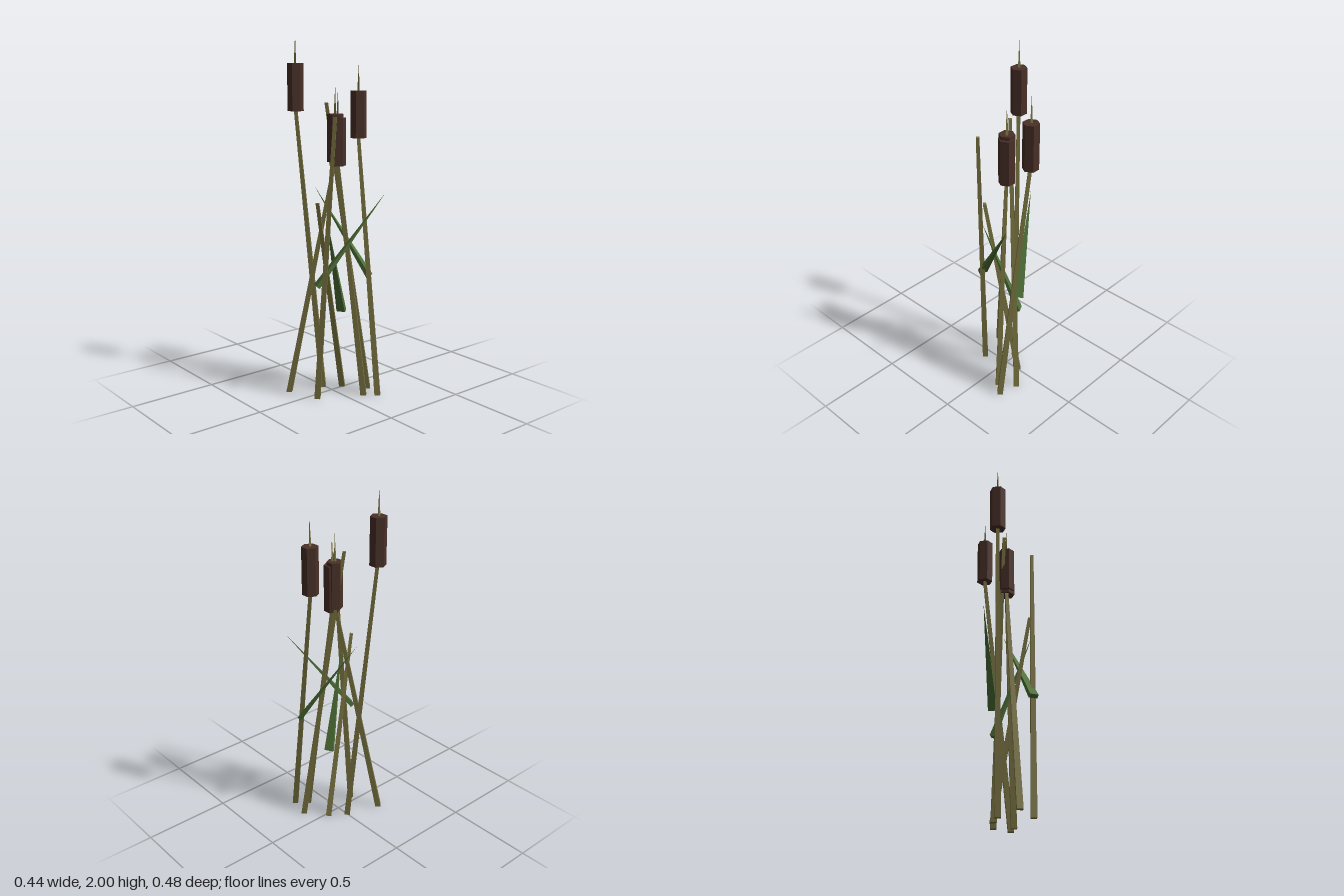
import * as THREE from 'three';

const paint = (color) => new THREE.MeshStandardMaterial({ color, flatShading: true });

// Upright prism whose rings are slid sideways so it leans from a to b with level ends
function leaningPrism(a, b, rBottom, rTop, sides) {
  const h = b[1] - a[1];
  const geo = new THREE.CylinderGeometry(rTop, rBottom, h, sides).translate(0, h / 2, 0);
  const p = geo.attributes.position;
  for (let i = 0; i < p.count; i++) {
    const t = p.getY(i) / h;
    p.setXYZ(i,
      p.getX(i) + a[0] + (b[0] - a[0]) * t,
      p.getY(i) + a[1],
      p.getZ(i) + a[2] + (b[2] - a[2]) * t);
  }
  geo.computeVertexNormals();
  return geo;
}

export function createModel() {
  const group = new THREE.Group();
  group.name = 'reeds';
  const stalkMat = paint(0x7a7442);
  const headMat = paint(0x4a3128);
  const leafMat = paint(0x4f7037);

  const add = (name, geo, mat, parent = group) => {
    const mesh = new THREE.Mesh(geo, mat);
    mesh.name = name;
    parent.add(mesh);
    return mesh;
  };

  // Stalks with a seed head: foot [x, z], head [x, z], height of the head's underside
  const headed = [
    [[-0.005, -0.075], [-0.098, -0.195], 1.59],
    [[0.155, 0.22], [0.18, 0.013], 1.44],
    [[-0.2, -0.138], [0.013, 0.013], 1.32],
    [[0.093, 0.17], [0.022, 0.025], 1.3],
  ];
  for (const [[fx, fz], [hx, hz], y] of headed) {
    const reed = new THREE.Group();
    reed.name = 'cattail';
    group.add(reed);
    add('stalk', leaningPrism([fx, 0, fz], [hx, y + 0.01, hz], 0.023, 0.013, 4), stalkMat, reed);
    add('seedHead', new THREE.CylinderGeometry(0.045, 0.045, 0.26, 6), headMat, reed)
      .position.set(hx, y + 0.13, hz);
    add('spike', new THREE.ConeGeometry(0.008, 0.15, 3), stalkMat, reed)
      .position.set(hx, y + 0.335, hz);
  }

  // Bare stalks: foot, top
  const bare = [
    [[-0.14, 0, 0.045], [-0.083, 1.57, 0.13]],
    [[0.18, 0, 0.105], [-0.01, 1.64, -0.035]],
    [[0.085, 0, -0.01], [-0.132, 1.11, 0.04]],
  ];
  for (const [foot, top] of bare) {
    add('bareStalk', leaningPrism(foot, top, 0.023, 0.013, 4), stalkMat);
  }

  // Leaves: flat four-sided blades running to a point, from base to tip
  const leaves = [
    [[-0.145, 0.65, 0.05], [0.205, 1.155, 0.214]],
    [[0.19, 0.665, 0.105], [0.018, 1.16, -0.175]],
    [[0.083, 0.455, -0.015], [-0.105, 1.02, 0.09]],
  ];
  for (const [base, tip] of leaves) {
    const from = new THREE.Vector3(...base);
    const dir = new THREE.Vector3(...tip).sub(from);
    const length = dir.length();
    dir.normalize();
    const across = new THREE.Vector3(0, 1, 0).cross(dir).normalize();
    const thick = new THREE.Vector3().crossVectors(across, dir);
    const geo = new THREE.ConeGeometry(0.036, length, 4)
      .rotateY(Math.PI / 4)
      .scale(1, 1, 0.5)
      .translate(0, length / 2, 0)
      .applyMatrix4(new THREE.Matrix4().makeBasis(across, dir, thick))
      .translate(from.x, from.y, from.z);
    add('leaf', geo, leafMat);
  }
  return group;
}
